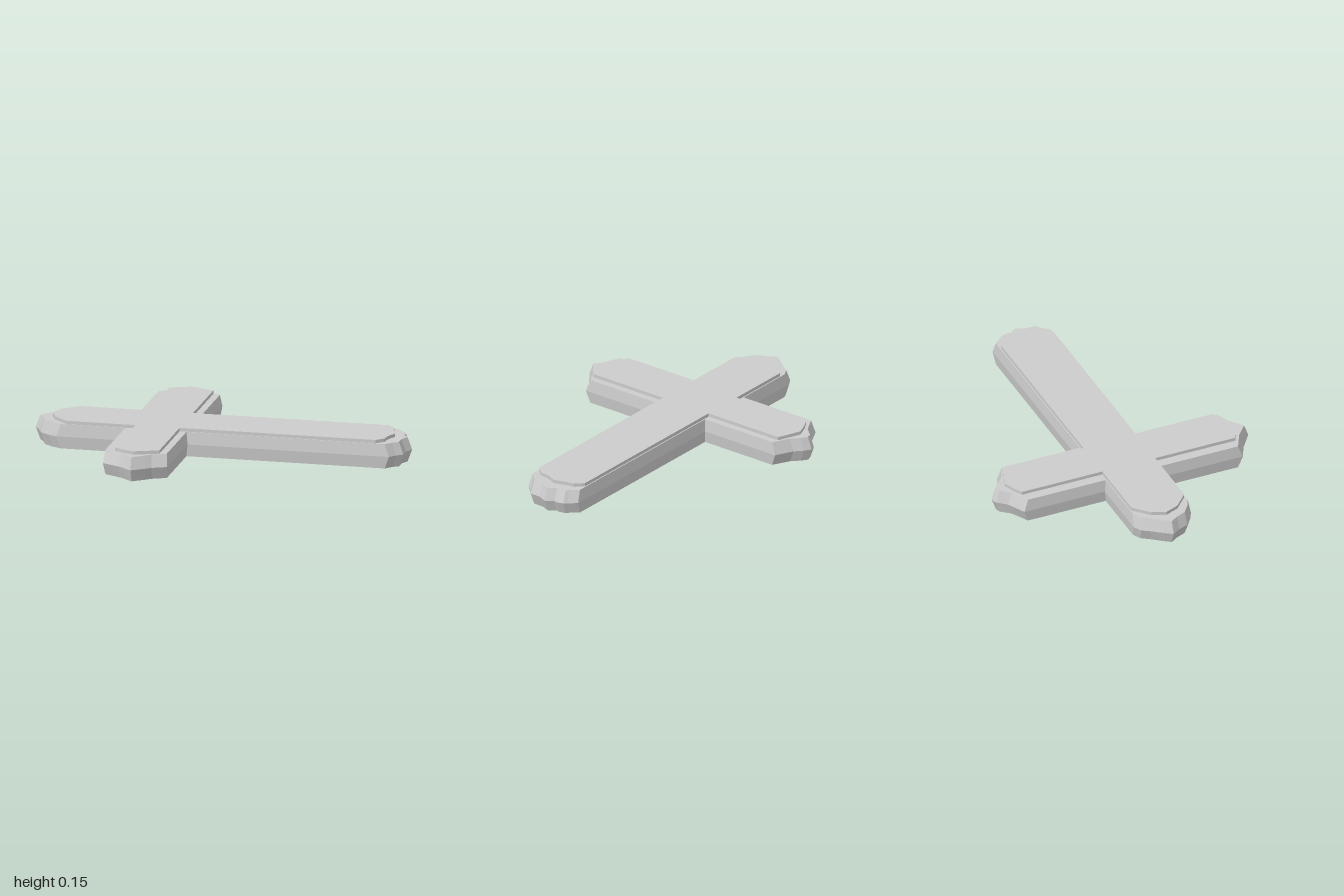
import * as THREE from 'three';

const CX = -0.325; // centre line of the cross arm
const material = new THREE.MeshStandardMaterial({ color: 0xcccccc, flatShading: true, side: THREE.DoubleSide });

// Chipped tips of the four arms as [x, z], clockwise seen from above
const tips = {
  back: [[-0.497, -0.62], [-0.4, -0.67], [-0.355, -0.72], [-0.325, -0.728], [-0.29, -0.705], [-0.25, -0.667], [-0.155, -0.62]],
  left: [[0.915, -0.163], [0.95, -0.12], [0.965, -0.105], [0.975, -0.07], [0.97, -0.05], [0.998, -0.01],
    [0.977, 0.04], [0.977, 0.1], [0.945, 0.125], [0.915, 0.163]],
  front: [[-0.155, 0.62], [-0.23, 0.655], [-0.26, 0.68], [-0.325, 0.728], [-0.4, 0.668], [-0.497, 0.62]],
  right: [[-0.855, 0.163], [-0.9, 0.14], [-0.95, 0.1], [-0.972, 0.045], [-1, 0], [-0.972, -0.04],
    [-0.93, -0.095], [-0.9, -0.14], [-0.855, -0.163]],
};

// Joins the tips with the four inner corners; inset pulls tips in and narrows the arms
function crossOutline(inset, narrow) {
  const across = (x) => CX + (x - CX) * narrow;
  const crossTip = (pts, s) => pts.map(([x, z]) => [across(x), z - s * inset]);
  const longTip = (pts, s) => pts.map(([x, z]) => [x - s * inset, z * narrow]);
  const corner = (x, z) => [across(x), z * narrow];
  return [
    ...crossTip(tips.back, -1), corner(-0.155, -0.163),
    ...longTip(tips.left, 1), corner(-0.155, 0.163),
    ...crossTip(tips.front, 1), corner(-0.497, 0.163),
    ...longTip(tips.right, -1), corner(-0.497, -0.163),
  ];
}

function makeMesh(name, positions) {
  const geo = new THREE.BufferGeometry();
  geo.setAttribute('position', new THREE.Float32BufferAttribute(positions, 3));
  geo.computeVertexNormals();
  const mesh = new THREE.Mesh(geo, material);
  mesh.name = name;
  return mesh;
}

// Wall lofted upward through matching outlines
function wall(name, rings) {
  const out = [];
  for (let r = 0; r + 1 < rings.length; r++) {
    const [lo, hi] = [rings[r], rings[r + 1]];
    const n = lo.pts.length;
    for (let i = 0; i < n; i++) {
      const j = (i + 1) % n;
      const at = (ring, k) => [ring.pts[k][0], ring.y, ring.pts[k][1]];
      out.push(...at(lo, i), ...at(hi, i), ...at(hi, j), ...at(lo, i), ...at(hi, j), ...at(lo, j));
    }
  }
  return makeMesh(name, out);
}

// Flat upward face inside an outline, with optional hole
function flatFace(name, y, outline, hole) {
  const toVec = (pts) => pts.map(([x, z]) => new THREE.Vector2(x, z));
  const contour = toVec(outline).reverse();
  const holes = hole ? [toVec(hole)] : [];
  const all = [...contour, ...holes.flat()];
  const out = [];
  for (const [a, b, c] of THREE.ShapeUtils.triangulateShape(contour, holes)) {
    const up = THREE.ShapeUtils.area([all[a], all[b], all[c]]) < 0;
    for (const k of up ? [a, b, c] : [a, c, b]) out.push(all[k].x, y, all[k].y);
  }
  return makeMesh(name, out);
}

export function createModel() {
  const model = new THREE.Group();
  model.name = 'cross';

  const wide = crossOutline(0, 1);
  const rim = crossOutline(0.024, 0.955);
  const panel = [
    [-0.435, -0.605], [-0.39, -0.63], [-0.325, -0.655], [-0.26, -0.63], [-0.2, -0.605], [-0.2, -0.15],
    [0.84, -0.15], [0.88, -0.11], [0.89, -0.06], [0.91, 0], [0.885, 0.06], [0.88, 0.11], [0.84, 0.15],
    [-0.2, 0.15], [-0.2, 0.605], [-0.26, 0.63], [-0.325, 0.655], [-0.39, 0.63], [-0.435, 0.605], [-0.435, 0.15],
    [-0.8, 0.15], [-0.88, 0.075], [-0.91, 0], [-0.88, -0.075], [-0.8, -0.15], [-0.435, -0.15],
  ];

  // Hollow body, widest at half height and open underneath
  model.add(wall('bodyWall', [{ pts: rim, y: 0 }, { pts: wide, y: 0.065 }, { pts: rim, y: 0.13 }]));
  model.add(flatFace('ledge', 0.13, rim, panel));

  // Raised panel on top
  model.add(wall('panelEdge', [{ pts: panel, y: 0.13 }, { pts: panel, y: 0.148 }]));
  model.add(flatFace('panelTop', 0.148, panel));
  return model;
}
